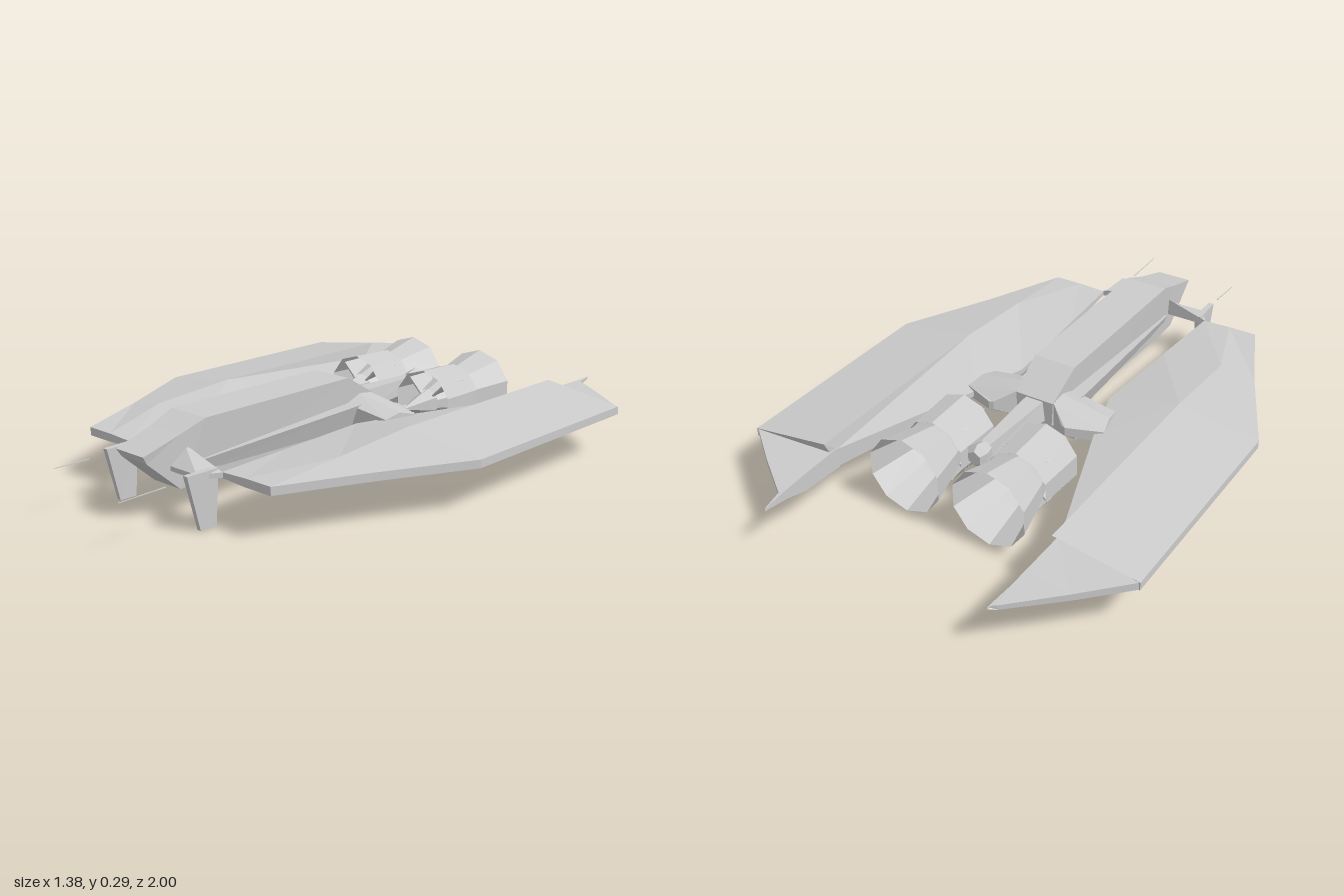
import * as THREE from 'three';

const mat = new THREE.MeshStandardMaterial({ color: 0xcccccc, flatShading: true, side: THREE.DoubleSide });

// Skins cross-sections listed front to back, each counter-clockwise seen from the front.
function loft(name, sections, side = 1) {
  const rings = sections.map(s => {
    const r = s.map(([x, y, z]) => [x * side, y, z]);
    return side < 0 ? r.reverse() : r;
  });
  const n = rings[0].length, pos = [];
  const same = (a, b) => a.every((v, i) => v === b[i]);
  const tri = (a, b, c) => {
    if (!same(a, b) && !same(b, c) && !same(a, c)) pos.push(...a, ...b, ...c);
  };
  for (let i = 0; i < rings.length - 1; i++) {
    for (let j = 0; j < n; j++) {
      const k = (j + 1) % n, A = rings[i], B = rings[i + 1];
      tri(A[j], B[k], A[k]);
      tri(A[j], B[j], B[k]);
    }
  }
  const first = rings[0], last = rings[rings.length - 1];
  for (let j = 1; j < n - 1; j++) {
    tri(first[0], first[j], first[j + 1]);
    tri(last[0], last[j + 1], last[j]);
  }
  const g = new THREE.BufferGeometry();
  g.setAttribute('position', new THREE.Float32BufferAttribute(pos, 3));
  g.computeVertexNormals();
  const m = new THREE.Mesh(g, mat);
  m.name = name;
  return m;
}

// Four-cornered section: bottom half-width, top half-width, bottom, top, z.
const trap = (wb, wt, y0, y1, z, zTop = z) =>
  [[-wb, y0, z], [wb, y0, z], [wt, y1, zTop], [-wt, y1, zTop]];
const rect = (x0, x1, y0, y1, z) => [[x0, y0, z], [x1, y0, z], [x1, y1, z], [x0, y1, z]];

// Diamond wing section: inner edge (with its own z and bottom), thick ridge, outer edge.
const wingSection = (zi, xi, z, xr, xo, y0, y1, yi = 0.148) =>
  [[xi, yi, zi], [xr, y0, z], [xo, 0.143, z], [xo, 0.17, z], [xr, y1, z], [xi, 0.166, zi]];

// Faceted tube along z from [radius, z] points.
function turned(name, profile, sides = 10) {
  const g = new THREE.LatheGeometry(profile.map(([r, z]) => new THREE.Vector2(r, z)), sides);
  g.rotateX(Math.PI / 2);
  const m = new THREE.Mesh(g, mat);
  m.name = name;
  return m;
}

function engine(s) {
  const e = new THREE.Group();
  e.name = 'engine';
  e.position.set(0.153 * s, 0.155, 0);
  e.add(turned('intakeRing', [[0.115, -0.33], [0.108, -0.5]]));
  // Flared exhaust running forward into a pointed intake spike
  e.add(turned('nozzle', [[0.045, -0.36], [0.095, -0.5], [0.132, -0.65]]));
  e.add(turned('intakeSpike', [[0, -0.22], [0.038, -0.33], [0.045, -0.37], [0, -0.46]], 6));
  // Thin fins holding the ring to the core
  for (let i = 0; i < 4; i++) {
    const fin = new THREE.Mesh(new THREE.BoxGeometry(0.07, 0.006, 0.1), mat);
    const a = Math.PI / 4 + i * Math.PI / 2;
    fin.position.set(Math.cos(a) * 0.072, Math.sin(a) * 0.072, -0.4);
    fin.rotation.z = a;
    fin.name = 'engineFin';
    e.add(fin);
  }
  return e;
}

export function createModel() {
  const model = new THREE.Group();
  model.name = 'spacecraft';

  // Central hull with sloping nose and rear deck
  model.add(loft('fuselage', [
    trap(0.058, 0.062, 0.19, 0.215, 0.8, 0.815),
    trap(0.06, 0.067, 0.085, 0.255, 0.68),
    trap(0.062, 0.077, 0.085, 0.288, 0.59),
    trap(0.065, 0.076, 0.12, 0.288, -0.035),
    trap(0.065, 0.07, 0.13, 0.215, -0.16),
  ]));
  // Side sponsons widening toward the rear
  model.add(loft('lowerHull', [
    trap(0.06, 0.075, 0.12, 0.16, 0.62),
    trap(0.09, 0.118, 0.12, 0.2, -0.04),
    trap(0.08, 0.1, 0.12, 0.2, -0.14),
  ]));
  // Belly keel and its crossbar
  model.add(loft('keel', [trap(0.02, 0.02, 0.07, 0.09, 0.64), trap(0.02, 0.02, 0.072, 0.092, -0.3)]));
  model.add(loft('keelCrossbar', [trap(0.13, 0.13, 0.07, 0.09, -0.08), trap(0.13, 0.13, 0.075, 0.1, -0.12)]));
  model.add(loft('keelMount', [trap(0.025, 0.025, 0.085, 0.14, -0.07), trap(0.025, 0.025, 0.085, 0.14, -0.13)]));

  // Tail spine ending in a small knuckle
  model.add(loft('tailSpine', [trap(0.04, 0.032, 0.14, 0.21, -0.15), trap(0.018, 0.015, 0.16, 0.205, -0.48)]));
  const knuckle = turned('tailKnuckle', [[0, -0.42], [0.03, -0.44], [0.042, -0.48], [0.025, -0.5], [0, -0.5]], 6);
  knuckle.position.y = 0.185;
  model.add(knuckle);

  for (const s of [1, -1]) {
    // Main wing: inner panel fans out from the ridge, then a steep wall runs to the rear
    model.add(loft('wing', [
      wingSection(0.65, 0.21, 0.65, 0.31, 0.41, 0.143, 0.17),
      wingSection(0.37, 0.192, 0.37, 0.41, 0.535, 0.122, 0.19),
      wingSection(0.03, 0.17, 0.06, 0.41, 0.69, 0.1, 0.212),
      wingSection(-0.17, 0.23, 0.06, 0.41, 0.69, 0.1, 0.212),
      wingSection(-0.66, 0.405, 0.06, 0.41, 0.69, 0.1, 0.212, 0.102),
      wingSection(-0.66, 0.405, -0.71, 0.41, 0.69, 0.1, 0.212, 0.102),
    ], s));
    // Swept tail blade, notched near the tip on the left only
    const notch = s > 0 ? 0.06 : 0;
    model.add(loft('wingTail', [
      [[0.402, 0.1, -0.66], [0.69, 0.143, -0.705], [0.69, 0.168, -0.705], [0.402, 0.172, -0.66]],
      [[0.4, 0.11, -0.82], [0.55, 0.145, -0.847 + notch / 2], [0.55, 0.167, -0.847 + notch / 2], [0.4, 0.17, -0.82]],
      [[0.398, 0.135, -0.9], [0.41, 0.15, -0.98 + notch], [0.41, 0.166, -0.98 + notch], [0.398, 0.168, -0.9]],
      [[0.39, 0.158, -1], [0.395, 0.158, -0.99], [0.395, 0.165, -0.99], [0.39, 0.165, -1]],
    ], s));
    // Shoulder pod joining hull to wing
    model.add(loft('shoulderPod', [
      [[0.06, 0.13, -0.035], [0.235, 0.14, -0.04], [0.235, 0.175, -0.04], [0.06, 0.2, -0.035]],
      [[0.06, 0.11, -0.1], [0.248, 0.12, -0.1], [0.245, 0.19, -0.1], [0.06, 0.225, -0.1]],
      [[0.07, 0.12, -0.155], [0.26, 0.135, -0.16], [0.26, 0.175, -0.16], [0.07, 0.215, -0.155]],
      [[0.13, 0.15, -0.205], [0.145, 0.15, -0.21], [0.145, 0.18, -0.21], [0.13, 0.18, -0.205]],
    ], s));
    model.add(engine(s));

    // Nose canard carrying the front leg
    model.add(loft('canard', [
      [[0.05, 0.15, 0.715], [0.175, 0.15, 0.715], [0.175, 0.165, 0.715], [0.05, 0.165, 0.715]],
      [[0.05, 0.15, 0.65], [0.215, 0.15, 0.65], [0.215, 0.166, 0.65], [0.05, 0.215, 0.65]],
    ], s));
    model.add(loft('frontLeg', [
      [[0.178, 0, 0.72], [0.192, 0, 0.72], [0.192, 0.175, 0.765], [0.174, 0.175, 0.765]],
      [[0.176, 0, 0.66], [0.194, 0, 0.66], [0.196, 0.175, 0.65], [0.172, 0.175, 0.65]],
    ], s));
    // Needle-thin floating gun barrel
    const front = s > 0 ? 1 : 0.95;
    model.add(loft('gunBarrel', [
      rect(0.181, 0.183, 0.158, 0.16, front), rect(0.176, 0.179, 0.158, 0.161, 0.83),
    ], s));
  }
  return model;
}
